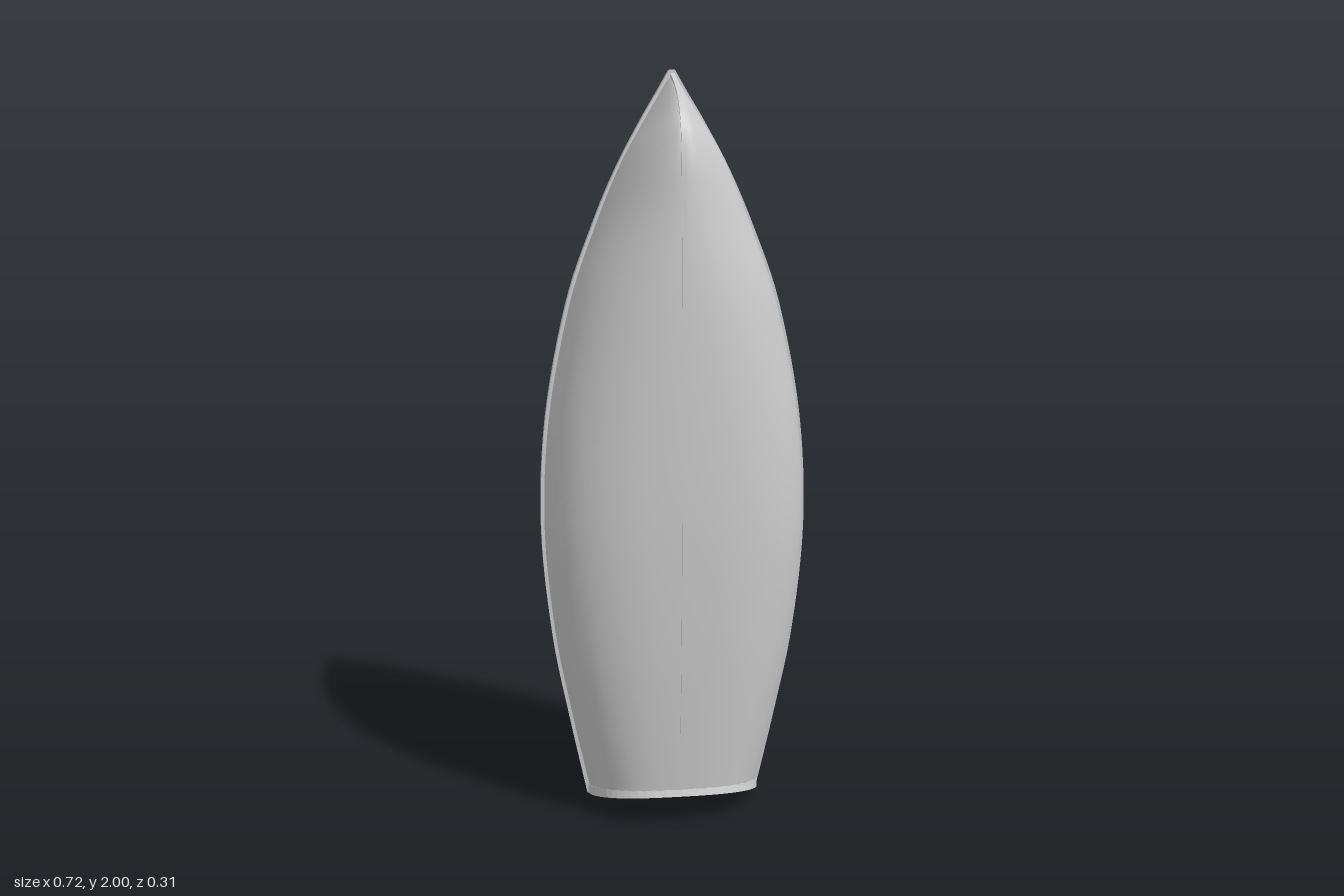
import * as THREE from 'three';
import { toCreasedNormals } from 'three/addons/utils/BufferGeometryUtils.js';

const { lerp } = THREE.MathUtils;
const material = new THREE.MeshStandardMaterial({ color: 0xcccccc });
const shell = new THREE.MeshStandardMaterial({ color: 0xcccccc, side: THREE.DoubleSide });

// Stations from stern to bow: [half beam, gunwale y, gunwale z, section fullness, keel y, keel z]
const stations = [
  [0.235, 0.02, -0.14, 2.7, 0.1, 0.105],
  [0.282, 0.25, -0.125, 2.7, 0.3, 0.122],
  [0.327, 0.5, -0.113, 2.65, 0.53, 0.139],
  [0.352, 0.8, -0.105, 2.65, 0.81, 0.15],
  [0.336, 1.1, -0.105, 2.55, 1.1, 0.151],
  [0.277, 1.4, -0.108, 2.35, 1.4, 0.148],
  [0.207, 1.6, -0.114, 2.1, 1.62, 0.141],
  [0.142, 1.75, -0.12, 1.9, 1.79, 0.132],
  [0.077, 1.87, -0.127, 1.75, 1.88, 0.1],
  [0.032, 1.945, -0.132, 1.6, 1.95, 0.01],
  [0, 2, -0.135, 1.6, 1.999, -0.132],
];
const makeCurve = (i) => new THREE.CatmullRomCurve3(
  stations.map((s) => new THREE.Vector3(s[i], s[i + 1], s[i + 2])), false, 'catmullrom', 0.5);
const gunwale = makeCurve(0);
const keelLine = makeCurve(3);
const STEPS = 60;
const WALL = 0.018;

// One station of the outer skin, or of the lining when inner is true
function station(t, inner) {
  const g = gunwale.getPoint(t), k = keelLine.getPoint(t);
  const pull = inner ? 0.07 : 0;
  return {
    b: Math.max(0, g.x - (inner ? WALL : 0)), gy: g.y, gz: g.z, n: k.x,
    ky: lerp(k.y, g.y, pull), kz: lerp(k.z, g.z, pull),
  };
}

// Cross-section from the +x gunwale around the keel to the -x gunwale
function section(t, inner, half = 10) {
  const s = station(t, inner), points = [];
  for (let i = 0; i <= 2 * half; i++) {
    const a = (i / (2 * half)) * Math.PI;
    const c = Math.cos(a);
    const x = Math.abs(c) < 1e-6 ? 0 : Math.sign(c) * s.b * Math.abs(c) ** (2 / s.n);
    const w = Math.max(0, Math.sin(a)) ** (2 / s.n);
    points.push(new THREE.Vector3(x, lerp(s.gy, s.ky, w), lerp(s.gz, s.kz, w)));
  }
  return points;
}

// Skin a list of equal-length rings; closed rings also get end caps
function loft(rings, { closed = false, flip = false } = {}) {
  const m = rings[0].length, index = [];
  const tri = (a, b, c) => (flip ? index.push(a, c, b) : index.push(a, b, c));
  for (let j = 0; j < rings.length - 1; j++) {
    for (let i = 0; i < (closed ? m : m - 1); i++) {
      const i2 = (i + 1) % m, a = j * m + i, b = j * m + i2;
      tri(a, a + m, b);
      tri(b, a + m, b + m);
    }
  }
  if (closed) {
    const last = (rings.length - 1) * m;
    for (let i = 1; i < m - 1; i++) {
      tri(0, i, i + 1);
      tri(last, last + i + 1, last + i);
    }
  }
  const geometry = new THREE.BufferGeometry().setFromPoints(rings.flat());
  geometry.setIndex(index);
  geometry.computeVertexNormals();
  return geometry;
}

const along = (from, fn) => Array.from({ length: STEPS + 1 }, (_, i) => fn(lerp(from, 1, i / STEPS)));

// Half width of the lining at a given height y and depth z
function innerHalfWidth(y, z) {
  let lo = 0, hi = 1, s, w;
  for (let i = 0; i < 30; i++) {
    const t = (lo + hi) / 2;
    s = station(t, true);
    w = (z - s.gz) / Math.max(1e-4, s.kz - s.gz);
    if (lerp(s.gy, s.ky, THREE.MathUtils.clamp(w, 0, 1)) < y) lo = t; else hi = t;
  }
  return w >= 1 ? 0 : s.b * (1 - Math.max(0, w) ** s.n) ** (1 / s.n);
}

// Flat board trimmed to the inside of the hull
function board(y0, y1, z, thickness, count) {
  const side = [];
  for (let i = 0; i <= count; i++) {
    const y = lerp(y0, y1, i / count);
    side.push(new THREE.Vector2(innerHalfWidth(y, z) + 0.002, y));
  }
  const mirrored = side.map((p) => new THREE.Vector2(-p.x, p.y)).reverse();
  const geometry = new THREE.ExtrudeGeometry(new THREE.Shape([...side, ...mirrored]),
    { depth: thickness, bevelEnabled: false });
  return geometry.translate(0, 0, z);
}

// Stern board with a notched top, set on the sloping stern plane
function transomGeometry() {
  const s = station(0, false);
  const down = new THREE.Vector3(0, s.ky - s.gy, s.kz - s.gz).normalize();
  const right = new THREE.Vector3(1, 0, 0);
  const out = right.clone().cross(down);
  const origin = new THREE.Vector3(0, s.gy, s.gz);
  const outline = section(0, false, 16).map((p) =>
    new THREE.Vector2(p.x * 1.02, p.clone().sub(origin).dot(down) * 1.01));
  const top = [[-0.24, -0.005], [-0.08, -0.016], [-0.04, 0], [0.04, 0], [0.08, -0.016], [0.24, -0.005]];
  outline.push(...top.map(([x, v]) => new THREE.Vector2(x, v)));
  const geometry = new THREE.ExtrudeGeometry(new THREE.Shape(outline), { depth: 0.024, bevelEnabled: false });
  geometry.translate(0, 0, -0.012);
  return geometry.applyMatrix4(new THREE.Matrix4().makeBasis(right, down, out).setPosition(origin));
}

export function createModel() {
  const group = new THREE.Group();
  const add = (name, geometry, mat = material) => {
    const mesh = new THREE.Mesh(geometry, mat);
    mesh.name = name;
    group.add(mesh);
    return mesh;
  };

  // Hull skin and lining
  add('hull', loft(along(0, (t) => section(t, false))), shell);
  add('hullLining', loft(along(0, (t) => section(t, true)), { flip: true }), shell);

  // Rubbing rail capping the gunwale on each side
  const rail = toCreasedNormals(loft(along(0, (t) => {
    const g = gunwale.getPoint(t);
    const outer = g.x + 0.007, inner = Math.max(0, g.x - 0.022);
    const z0 = g.z - 0.002, z1 = g.z + 0.04;
    return [[inner, z0], [outer, z0], [outer, z1], [inner, z1]].map(([x, z]) => new THREE.Vector3(x, g.y, z));
  }), { closed: true }), 0.6);
  add('leftRail', rail, shell);
  add('rightRail', rail, shell).scale.x = -1;

  // Keel strip running up into the stem
  add('keel', toCreasedNormals(loft(along(0.06, (t) => {
    const k = keelLine.getPoint(t), d = keelLine.getTangent(t);
    const ny = -d.z, nz = d.y, len = Math.hypot(ny, nz);
    return [[-0.006, -0.012], [0.006, -0.012], [0.006, 0.004], [-0.006, 0.004]].map(([x, h]) =>
      new THREE.Vector3(x, Math.min(2, k.y + (ny / len) * h), k.z + (nz / len) * h));
  }), { closed: true }), 0.6), shell);

  add('transom', transomGeometry());

  // Floor and seats
  add('floor', board(0.09, 1.87, 0.068, 0.01, 40));
  add('sternSeat', board(0.187, 0.35, -0.067, 0.014, 6));
  add('middleSeat', board(0.834, 0.99, -0.067, 0.014, 6));
  add('bowSeat', board(1.655, 1.96, -0.095, 0.014, 12));

  return group;
}
